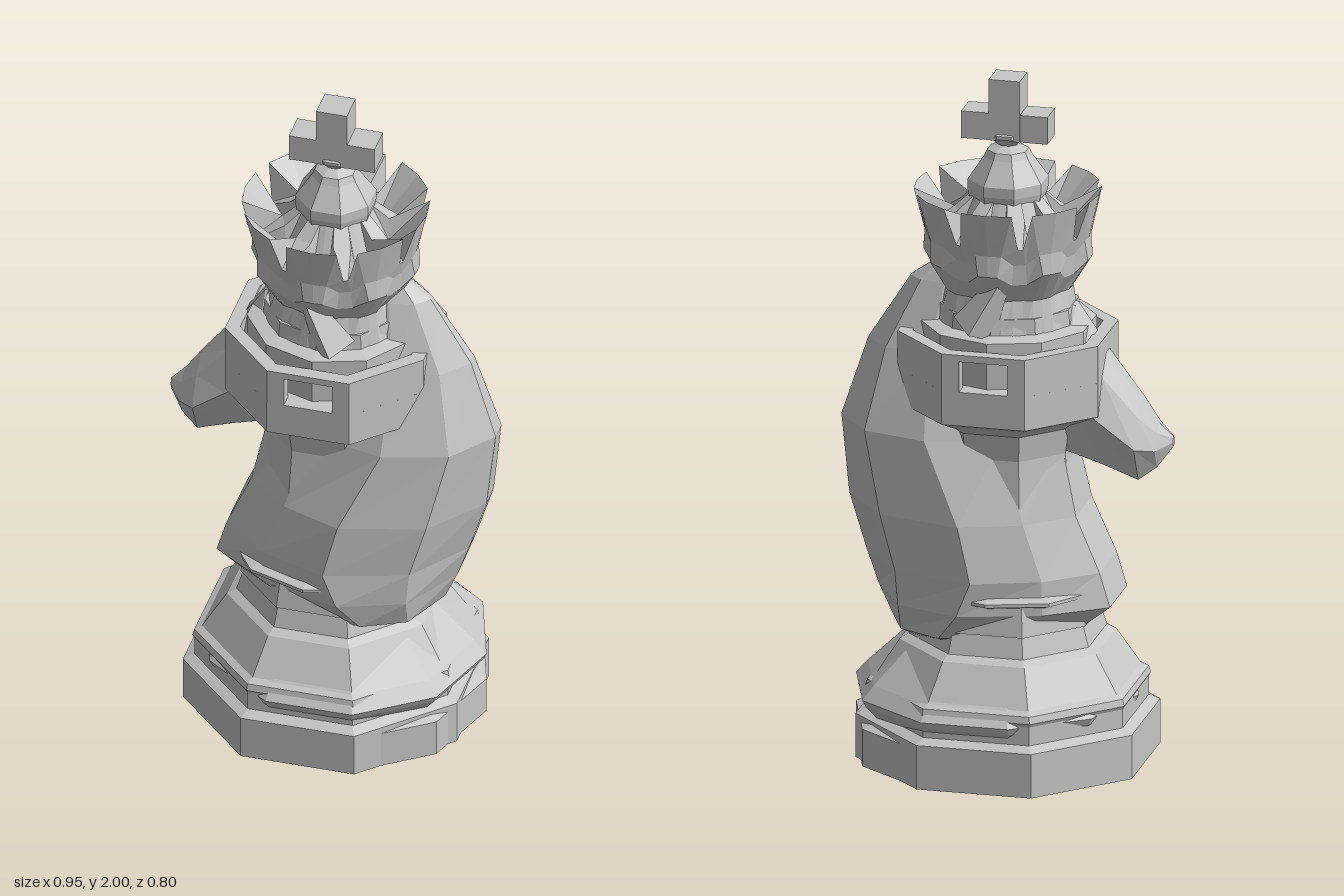
import * as THREE from 'three';

const TAU = Math.PI * 2;

// Regular horizontal ring, counter-clockwise seen from above
function ring(n, r, y, phase = 0, cx = 0) {
  return Array.from({ length: n }, (_, i) => {
    const a = phase + (i / n) * TAU;
    return [cx + r * Math.cos(a), y, -r * Math.sin(a)];
  });
}

// Skin a list of equal-length rings and cap both ends
function loft(rings) {
  const pos = [];
  const tri = (a, b, c) => pos.push(...a, ...b, ...c);
  const n = rings[0].length;
  for (let k = 0; k < rings.length - 1; k++) {
    for (let i = 0; i < n; i++) {
      const j = (i + 1) % n;
      const [a, b, c, d] = [rings[k][i], rings[k][j], rings[k + 1][j], rings[k + 1][i]];
      tri(a, b, c);
      tri(a, c, d);
    }
  }
  const cap = (r, flip) => {
    const m = [0, 1, 2].map((q) => r.reduce((s, p) => s + p[q], 0) / n);
    for (let i = 0; i < n; i++) {
      const j = (i + 1) % n;
      if (flip) tri(m, r[j], r[i]);
      else tri(m, r[i], r[j]);
    }
  };
  cap(rings[0], true);
  cap(rings[rings.length - 1], false);
  const g = new THREE.BufferGeometry();
  g.setAttribute('position', new THREE.Float32BufferAttribute(pos, 3));
  g.computeVertexNormals();
  return g;
}

export function createModel() {
  const model = new THREE.Group();
  model.name = 'chessPiece';
  const stone = new THREE.MeshStandardMaterial({ color: 0xc6c6c6, flatShading: true });
  stone.name = 'lightGrey';

  const add = (name, geo, x = 0, y = 0, z = 0) => {
    const m = new THREE.Mesh(geo, stone);
    m.name = name;
    m.position.set(x, y, z);
    model.add(m);
    return m;
  };

  // Turned solid from [radius, y] pairs
  const turned = (name, n, profile, phase = 0, cx = 0) =>
    add(name, loft(profile.map(([r, y]) => ring(n, r, y, phase, cx))));

  // Octagonal solid from [flat distance, y] pairs, flats facing the axes
  const oct = (name, profile) =>
    turned(name, 8, profile.map(([f, y]) => [f / Math.cos(Math.PI / 8), y]), Math.PI / 8);

  // Tower base and shaft
  oct('towerBase', [[0.4, 0], [0.4, 0.13], [0.37, 0.145], [0.37, 0.2], [0.375, 0.21],
    [0.37, 0.23], [0.35, 0.24], [0.285, 0.345], [0.26, 0.36], [0.24, 0.43]]);
  oct('towerShaft', [[0.25, 0.42], [0.235, 0.5], [0.2, 0.75], [0.185, 0.92], [0.2, 1.02]]);
  oct('towerCrown', [[0.19, 0.99], [0.21, 1.01], [0.29, 1.05], [0.29, 1.15]]);

  // Rounded second base set slightly back
  turned('horseBase', 10, [[0.41, 0], [0.41, 0.11], [0.36, 0.13], [0.4, 0.175],
    [0.41, 0.195], [0.375, 0.235], [0.26, 0.345], [0.22, 0.38]], 0, 0.03);
  turned('collarDisc', 10, [[0.25, 0.5], [0.29, 0.515], [0.29, 0.525], [0.24, 0.54]], 0.3, -0.01);

  // Battlement wall: two halves with a slot front and back
  const half = new THREE.Shape([
    [0.07, -0.29], [0.12, -0.29], [0.29, -0.12], [0.29, 0.12], [0.12, 0.29], [0.07, 0.29],
    [0.07, 0.25], [0.104, 0.25], [0.25, 0.104], [0.25, -0.104], [0.104, -0.25], [0.07, -0.25],
  ].map(([x, y]) => new THREE.Vector2(x, y)));
  for (const turn of [0, Math.PI]) {
    const wall = new THREE.ExtrudeGeometry(half, { depth: 0.11, bevelEnabled: false });
    wall.rotateX(-Math.PI / 2).rotateY(turn);
    add('battlementWall', wall, 0, 1.15, 0);
  }
  for (const s of [1, -1]) add('slotLintel', new THREE.BoxGeometry(0.14, 0.02, 0.04), 0, 1.25, s * 0.27);

  // Horse neck and mane: [y, front x, widest x, back x, half width]
  const neck = [
    [0.36, -0.18, 0.14, 0.29, 0.15],
    [0.4, -0.22, 0.14, 0.33, 0.25],
    [0.48, -0.32, 0.08, 0.365, 0.285],
    [0.58, -0.29, 0.04, 0.4, 0.285],
    [0.74, -0.22, 0.08, 0.45, 0.27],
    [0.97, -0.17, 0.19, 0.475, 0.215],
    [1.2, -0.12, 0.2, 0.4, 0.13],
    [1.39, -0.02, 0.17, 0.28, 0.06],
    [1.44, 0.12, 0.17, 0.21, 0.035],
  ];
  add('horseNeck', loft(neck.map(([y, f, m, b, w]) => {
    const q = b - (b - m) * 0.35;
    const p = f + (m - f) * 0.42;
    const side = [[b, 0.14], [q, 0.76], [m, 1], [p, 0.76], [f, 0.35]];
    return [
      ...side.map(([x, k]) => [x, y, -w * k]),
      ...side.reverse().map(([x, k]) => [x, y, w * k]),
    ];
  })));

  // Horse head: [x, top y, bottom y, half width], running to the nose
  const head = [
    [0.2, 1.43, 1.1, 0.06],
    [-0.05, 1.4, 0.95, 0.12],
    [-0.2, 1.34, 0.92, 0.13],
    [-0.29, 1.21, 0.89, 0.12],
    [-0.39, 1.08, 0.85, 0.105],
    [-0.44, 1.01, 0.885, 0.065],
    [-0.48, 0.97, 0.94, 0.01],
  ];
  add('horseHead', loft(head.map(([x, t, b, w]) => {
    const h = t - b;
    return [[w, 0.45], [w * 0.6, 0.82], [w * 0.15, 1], [-w * 0.15, 1], [-w * 0.6, 0.82],
      [-w, 0.45], [-w * 0.5, 0], [w * 0.5, 0]].map(([z, k]) => [x, b + h * k, z]);
  })));

  // Ears
  for (const s of [1, -1]) {
    const ear = add('ear', new THREE.ConeGeometry(0.065, 0.28, 4), -0.015, 1.43, s * 0.19);
    ear.rotation.z = 0.5;
  }

  // Queen's waist rings
  turned('waistCollar', 10, [[0.25, 1.15], [0.25, 1.285], [0.205, 1.295], [0.2, 1.34]], Math.PI / 2);

  // Coronet of eight flared points; each ring gives radius, height and half angle
  // for the points and then for the valleys between them
  const coronetRing = ([rp, yp, ap, rv, yv, av]) => {
    const out = [];
    for (let i = 0; i < 8; i++) {
      const a = (i / 8) * TAU;
      const v = TAU / 16;
      for (const [off, r, y] of [[-ap, rp, yp], [0, rp, yp], [ap, rp, yp], [v - av, rv, yv], [v + av, rv, yv]]) {
        out.push([r * Math.cos(a + off), y, -r * Math.sin(a + off)]);
      }
    }
    return out;
  };
  add('coronet', loft([
    [0.2, 1.29, 0.15, 0.2, 1.29, 0.08],
    [0.185, 1.39, 0.15, 0.175, 1.39, 0.08],
    [0.24, 1.48, 0.12, 0.215, 1.45, 0.1],
    [0.235, 1.54, 0.16, 0.22, 1.51, 0.08],
    [0.265, 1.67, 0.28, 0.235, 1.56, 0.03],
    [0.15, 1.55, 0.15, 0.15, 1.615, 0.17],
    [0.1, 1.66, 0.17, 0.1, 1.66, 0.17],
  ].map(coronetRing)));

  // Conical cap, bead and cross
  turned('conicalCap', 8, [[0.1, 1.6], [0.115, 1.67], [0.115, 1.7], [0.07, 1.765], [0.06, 1.785],
    [0.03, 1.8], [0.055, 1.825], [0.055, 1.835], [0.03, 1.85]], Math.PI / 8);
  add('crossUpright', new THREE.BoxGeometry(0.09, 0.18, 0.09), 0, 1.91, 0);
  add('crossBar', new THREE.BoxGeometry(0.25, 0.08, 0.088), 0, 1.86, 0);

  return model;
}
